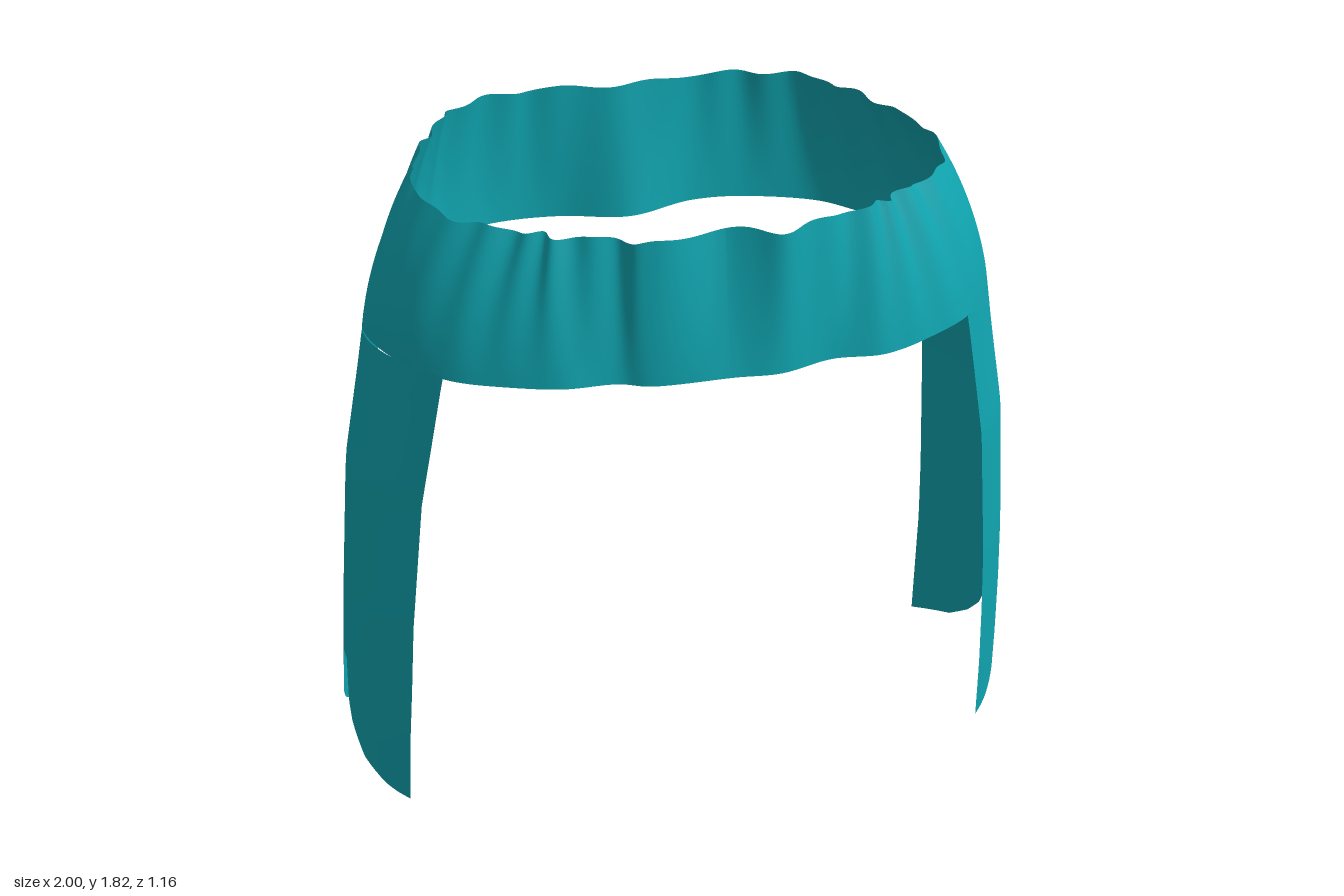
import * as THREE from 'three';

const material = new THREE.MeshStandardMaterial({ color: 0x10a5b0, side: THREE.DoubleSide });

// Outline of the band from front centre to back centre on the +x side: [x, z]
const TOP = [[0, .5], [.14, .56], [.3, .49], [.43, .45], [.5, .4], [.6, .33], [.7, .23], [.74, .05],
  [.72, -.1], [.67, -.24], [.6, -.38], [.52, -.5], [.36, -.565], [.2, -.575], [0, -.55]];
const BOTTOM = [[0, .56], [.14, .575], [.3, .52], [.45, .52], [.6, .46], [.74, .37], [.85, .22], [.9, .05],
  [.86, -.1], [.8, -.21], [.68, -.37], [.57, -.5], [.38, -.57], [.2, -.575], [0, -.515]];
const COUNT = 28, FRONT_CORNER = 5, BACK_CORNER = 9;

// Closed ring: the half outline plus its mirror, with the front fold a little wider on the right
function ring(half, y) {
  const left = half.slice(1, -1).map(([x, z], i) => (i === 0 ? [-.2, .55] : [-x, z])).reverse();
  const points = [...half, ...left].map(([x, z]) => new THREE.Vector3(x, y(z), z));
  return new THREE.CatmullRomCurve3(points, true, 'catmullrom', 0.5);
}
const topRing = ring(TOP, z => 1.805 - .02 * z);
const bottomRing = ring(BOTTOM, z => 1.4 - .025 * z);

// Grid surface from a function of (u, v)
function sheet(name, us, rows, at) {
  const pos = [], index = [], w = us.length;
  for (let j = 0; j <= rows; j++) for (const u of us) pos.push(...at(u, j / rows).toArray());
  for (let j = 0; j < rows; j++) for (let i = 0; i < w - 1; i++) {
    const a = j * w + i, b = a + w;
    index.push(a, a + 1, b, a + 1, b + 1, b);
  }
  const geo = new THREE.BufferGeometry();
  geo.setAttribute('position', new THREE.Float32BufferAttribute(pos, 3));
  geo.setIndex(index);
  geo.computeVertexNormals();
  const mesh = new THREE.Mesh(geo, material);
  mesh.name = name;
  return mesh;
}

// Piecewise linear lookup in a list of [key, value] with rising keys
function lookup(table, k) {
  let i = 1;
  while (i < table.length - 1 && table[i][0] < k) i++;
  const [k0, v0] = table[i - 1], [k1, v1] = table[i];
  return THREE.MathUtils.lerp(v0, v1, THREE.MathUtils.clamp((k - k0) / (k1 - k0), 0, 1));
}

// Gathered band around the head
function bandPoint(u, v) {
  const p = bottomRing.getPoint(u % 1).lerp(topRing.getPoint(u % 1), v);
  const out = new THREE.Vector3(p.x, 0, p.z).normalize();
  const side = Math.abs(out.x);
  const gather = .007 * v * Math.sin(u * Math.PI * 2 * 33) * (.4 + Math.sin(u * Math.PI * 4) ** 2);
  p.addScaledVector(out, gather + .1 * side * side * v * (1 - v));
  p.y += .006 * v * Math.sin(u * Math.PI * 2 * 21) + .004 * (1 - v) * Math.sin(u * Math.PI * 2 * COUNT / 4);
  return p;
}

// Side flap edges by height, and the notched hem across the width (0 front, 1 back)
const FRONT_X = [[0, .87], [.2, .865], [.6, .845], [1, .81], [1.2, .775], [1.4, .74]];
const BACK_X = [[0, .87], [.4, .865], [1, .84], [1.4, .8]];
const FRONT_Z = [[0, .27], [.4, .31], [.8, .335], [1.2, .36], [1.4, .37]];
const BACK_Z = [[.04, -.32], [.4, -.28], [.6, -.262], [1, -.247], [1.2, -.235], [1.4, -.21]];
const HEM = [[0, 0], [.06, .008], [.12, .02], [.26, .07], [.38, .16], [.424, .22], [.466, .36],
  [.534, .36], [.55, .25], [.605, .18], [.695, .12], [.81, .07], [1, .04]];

function flapPoint(side, s, v) {
  const t = (FRONT_CORNER + s * (BACK_CORNER - FRONT_CORNER)) / COUNT;
  const joint = bandPoint(t, 0);
  const y = THREE.MathUtils.lerp(joint.y, lookup(HEM, s), v);
  const x = THREE.MathUtils.lerp(lookup(FRONT_X, y), lookup(BACK_X, y), s) + .138 * 4 * s * (1 - s);
  const z = THREE.MathUtils.lerp(lookup(FRONT_Z, y), lookup(BACK_Z, y), s);
  const blend = THREE.MathUtils.smoothstep(1.4 - y, 0, .5);
  const p = new THREE.Vector3(x, y, z);
  if (v === 0) p.copy(joint);
  else p.set(THREE.MathUtils.lerp(joint.x + (x - lookupMid(s)), x, blend), y,
    THREE.MathUtils.lerp(joint.z + (z - .37 + .58 * s), z, blend));
  p.x *= side;
  return p;
}
// Nominal flap x at the joint, used to carry the band's shape down into the flap
function lookupMid(s) {
  return .74 + .06 * s + .138 * 4 * s * (1 - s);
}

export function createModel() {
  const group = new THREE.Group();
  group.name = 'clothHeadwrap';

  const around = Array.from({ length: 337 }, (_, i) => i / 336);
  group.add(sheet('headBand', around, 16, bandPoint));

  // Columns fall on every hem corner, with extra ones between
  const columns = [];
  HEM.forEach(([s], i) => {
    if (i) for (let k = 1; k <= 4; k++) columns.push(THREE.MathUtils.lerp(HEM[i - 1][0], s, k / 4));
    else columns.push(s);
  });
  for (const side of [1, -1]) {
    group.add(sheet(side > 0 ? 'leftFlap' : 'rightFlap', columns, 32, (s, v) => flapPoint(side, s, v)));
  }
  return group;
}
